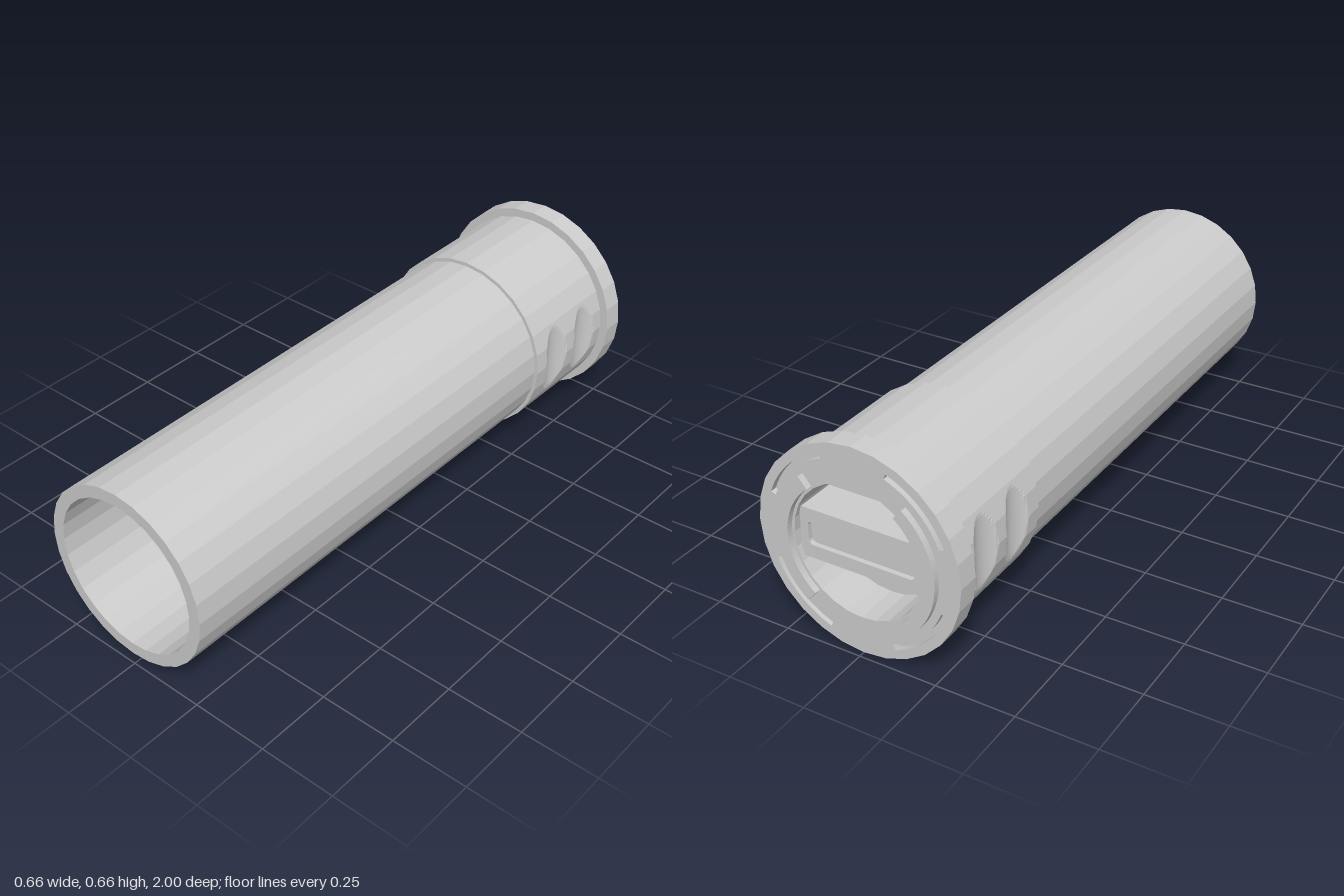
import * as THREE from 'three';

const SIDES = 28;
const AXIS_Y = 0.33;
const material = new THREE.MeshStandardMaterial({
  color: 0xcccccc, flatShading: true, side: THREE.DoubleSide,
});

// Turned part: points are [radius, z]
function turned(points, segments = SIDES) {
  const profile = points.map(([r, z]) => new THREE.Vector2(r, z));
  return new THREE.LatheGeometry(profile, segments).rotateX(Math.PI / 2);
}

// Plate cut from a shape, reaching from zBack to zFront
function plate(shape, zBack, zFront) {
  return new THREE.ExtrudeGeometry(shape, {
    depth: zFront - zBack, bevelEnabled: false, curveSegments: 12,
  }).translate(0, 0, zBack);
}

function polygon(radius) {
  return Array.from({ length: SIDES }, (_, i) => {
    const a = (i / SIDES) * Math.PI * 2;
    return new THREE.Vector2(radius * Math.cos(a), radius * Math.sin(a));
  });
}

// Curved strip between two radii, centred on an angle
function arcBand(inner, outer, middle, half) {
  const shape = new THREE.Shape();
  shape.absarc(0, 0, outer, middle - half, middle + half, false);
  shape.absarc(0, 0, inner, middle + half, middle - half, true);
  shape.closePath();
  return shape;
}

function roundedRect(w, h, r) {
  const shape = new THREE.Shape();
  const x = w / 2 - r, y = h / 2 - r;
  shape.absarc(x, y, r, 0, Math.PI / 2, false);
  shape.absarc(-x, y, r, Math.PI / 2, Math.PI, false);
  shape.absarc(-x, -y, r, Math.PI, Math.PI * 1.5, false);
  shape.absarc(x, -y, r, Math.PI * 1.5, Math.PI * 2, false);
  shape.closePath();
  return shape;
}

// Collar with two scooped finger grips on each side
function collarGeometry() {
  const radius = 0.302, zBack = -0.91, zFront = -0.54, rows = 48, split = 6;
  const points = [];
  for (let i = 0; i <= rows; i++) {
    points.push([radius, zBack + ((zFront - zBack) * i) / rows]);
  }
  points.push([0.25, zFront]);
  const geometry = turned(points, SIDES * split);
  const pos = geometry.attributes.position;
  const step = (Math.PI * 2) / SIDES;
  const scoopRadius = 0.08, scoopCentre = 0.357;
  for (let i = 0; i < pos.count; i++) {
    let x = pos.getX(i), y = pos.getY(i);
    const z = pos.getZ(i);
    // Flatten the finer ring onto the facets
    const a = Math.atan2(y, x);
    const offset = a - (Math.floor(a / step + 1e-6) + 0.5) * step;
    const k = Math.cos(step / 2) / Math.cos(offset);
    x *= k;
    y *= k;
    // Press the sides in to the bottom of each scoop
    for (const zc of [-0.65, -0.81]) {
      const d = Math.abs(z - zc);
      if (d < scoopRadius) {
        const limit = scoopCentre - Math.sqrt(scoopRadius ** 2 - d ** 2);
        x = THREE.MathUtils.clamp(x, -limit, limit);
      }
    }
    pos.setXY(i, x, y);
  }
  return geometry;
}

export function createModel() {
  const model = new THREE.Group();
  const add = (name, geometry) => {
    const mesh = new THREE.Mesh(geometry, material);
    mesh.name = name;
    mesh.position.y = AXIS_Y;
    model.add(mesh);
  };

  // Open tube, closed at its inner end by the cap
  add('tube', turned([[0.29, -0.54], [0.29, 1], [0.25, 1], [0.25, -0.54], [0, -0.54]]));
  add('collar', collarGeometry());

  // Flange with the round recess in its middle
  add('flange', turned([
    [0, -0.84], [0.21, -0.84], [0.21, -0.96], [0.33, -0.96], [0.33, -0.91], [0.27, -0.91],
  ]));

  // End face with four curved slots
  const face = new THREE.Shape(polygon(0.33));
  face.holes.push(new THREE.Path(polygon(0.21)));
  for (let i = 0; i < 4; i++) {
    const slot = arcBand(0.283, 0.3, Math.PI / 4 + (i * Math.PI) / 2, 0.42);
    face.holes.push(new THREE.Path(slot.getPoints(12)));
  }
  add('endFace', plate(face, -0.98, -0.96));

  // Raised lips at the left and right of the recess
  add('leftLip', plate(arcBand(0.218, 0.26, 0, 0.88), -1, -0.978));
  add('rightLip', plate(arcBand(0.218, 0.26, Math.PI, 0.88), -1, -0.978));

  // Grip bar across the recess, with a sunken slot
  add('gripBar', new THREE.BoxGeometry(0.4, 0.16, 0.12).translate(0, 0, -0.89));
  const rim = roundedRect(0.4, 0.16, 0.004);
  rim.holes.push(new THREE.Path(roundedRect(0.35, 0.075, 0.015).getPoints(4)));
  add('gripBarRim', plate(rim, -0.965, -0.95));

  return model;
}
